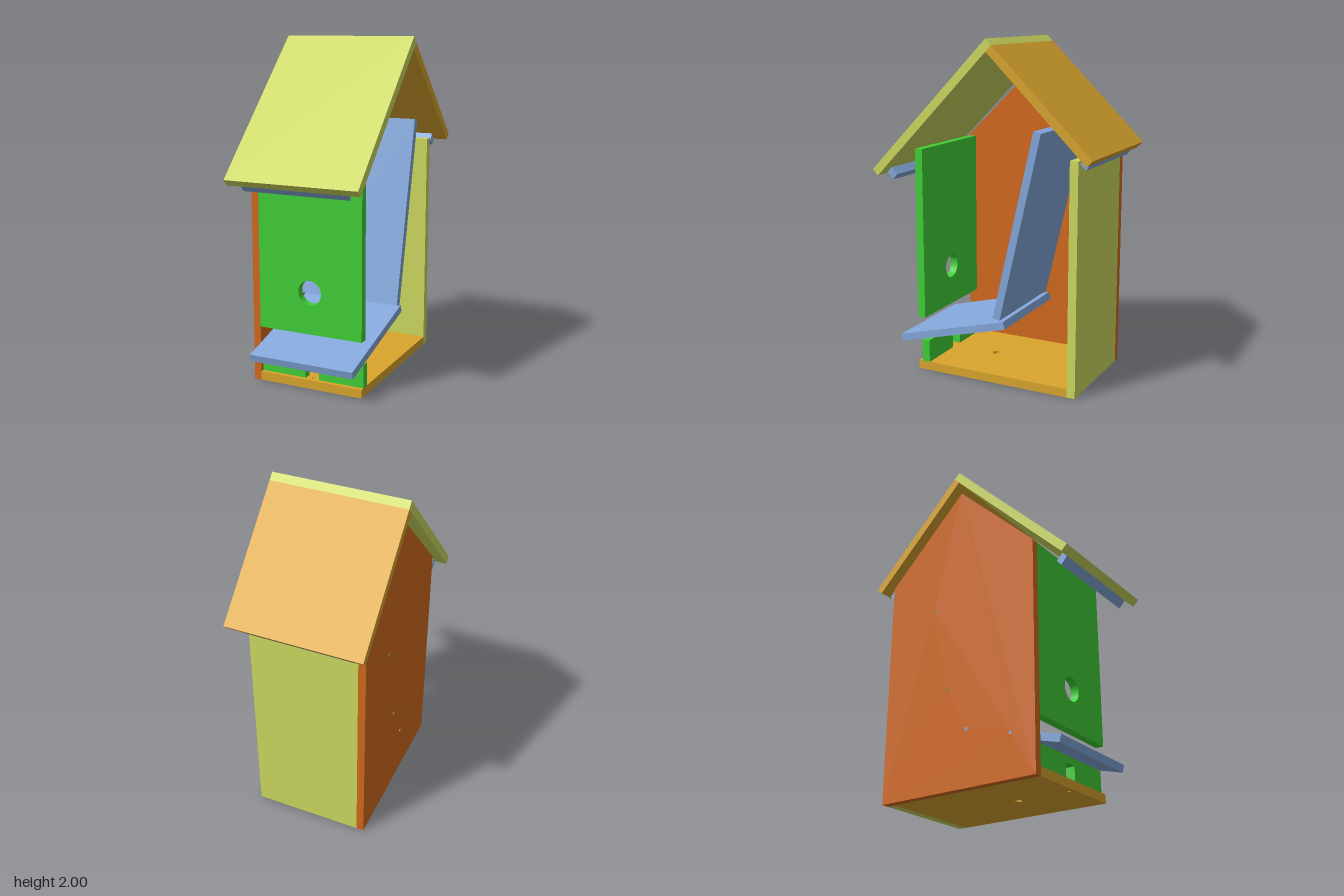
import * as THREE from 'three';

const ORANGE = 0xd2691e, GREEN = 0x40d038, GOLD = 0xdaa52d, LIME = 0xcdd95f, BLUE = 0x84a8dc;
const X0 = -0.33, X1 = 0.32, XC = (X0 + X1) / 2;

function board(name, geometry, color) {
  const mesh = new THREE.Mesh(geometry, new THREE.MeshStandardMaterial({ color, flatShading: true }));
  mesh.name = name;
  return mesh;
}

// Flat shape from corner points, with round holes given as [x, y, radius]
function outline(points, holes = []) {
  const shape = new THREE.Shape(points.map(([x, y]) => new THREE.Vector2(x, y)));
  for (const [x, y, r] of holes) {
    const hole = new THREE.Path();
    hole.absarc(x, y, r, 0, Math.PI * 2, true);
    shape.holes.push(hole);
  }
  return shape;
}

const extrude = (shape, depth) =>
  new THREE.ExtrudeGeometry(shape, { depth, bevelEnabled: false, curveSegments: 24 });

// Side profile in [z, y], running across from x0 to x1
function across(points, x0 = X0, x1 = X1, holes = []) {
  const shape = outline(points.map(([z, y]) => [-z, y]), holes.map(([z, y, r]) => [-z, y, r]));
  return extrude(shape, x1 - x0).rotateY(Math.PI / 2).translate(x0, 0, 0);
}

const rect = (a0, b0, a1, b1) => [[a0, b0], [a1, b0], [a1, b1], [a0, b1]];

export function createModel() {
  const model = new THREE.Group();
  model.name = 'nestBox';

  // Gabled side wall with screw holes; the opposite side is open
  const gable = [[0.455, 0], [0.455, 1.36], [-0.06, 1.865], [-0.575, 1.36], [-0.575, 0]];
  const screws = [[-0.24, 1.11], [-0.125, 0.58], [0.007, 0.33], [0.298, 0.25]].map(([z, y]) => [z, y, 0.01]);
  model.add(board('sideWall', across(gable, -0.375, X0, screws), ORANGE));

  // Back wall
  model.add(board('backWall', across(rect(-0.575, 0, -0.525, 1.358)), LIME));

  // Floor with a drain hole and a screw hole
  const floor = outline(rect(X0, -0.455, X1, 0.525), [[XC, -0.09, 0.022], [XC, -0.415, 0.01]]);
  model.add(board('floor', extrude(floor, 0.052).rotateX(-Math.PI / 2), GOLD));

  // Front wall with the round entrance
  const front = outline(rect(X0, 0.33, X1, 1.358), [[XC, 0.575, 0.072]]);
  model.add(board('frontWall', extrude(front, 0.048).translate(0, 0, 0.407), GREEN));

  // Low sill with a notch at the bottom
  const sill = outline([[X0, 0.052], [-0.048, 0.052], [-0.048, 0.148], [0.04, 0.148],
    [0.04, 0.052], [X1, 0.052], [X1, 0.19], [X0, 0.19]]);
  model.add(board('frontSill', extrude(sill, 0.05).translate(0, 0, 0.38), GREEN));

  // Sloping landing board and the leaning inner board behind it
  model.add(board('landingBoard',
    across([[0.581, 0.199], [0.57, 0.156], [-0.133, 0.342], [-0.119, 0.385]]), BLUE));
  model.add(board('innerBoard',
    across([[-0.308, 1.504], [-0.353, 1.493], [-0.098, 0.39], [-0.053, 0.4]]), BLUE));

  // Roof boards, butted at the ridge
  model.add(board('frontRoof',
    across([[-0.06, 2], [-0.095, 1.965], [0.66, 1.197], [0.695, 1.232]], -0.405, 0.405), LIME));
  model.add(board('backRoof',
    across([[-0.095, 1.965], [-0.06, 1.93], [-0.655, 1.345], [-0.69, 1.38]], -0.405, 0.405), GOLD));

  // Cleats under the eaves
  model.add(board('frontCleat',
    across([[0.648, 1.207], [0.62, 1.236], [0.583, 1.196], [0.611, 1.163]]), BLUE));
  model.add(board('backCleat',
    across([[-0.648, 1.35], [-0.615, 1.383], [-0.585, 1.345], [-0.62, 1.312]]), BLUE));

  return model;
}
